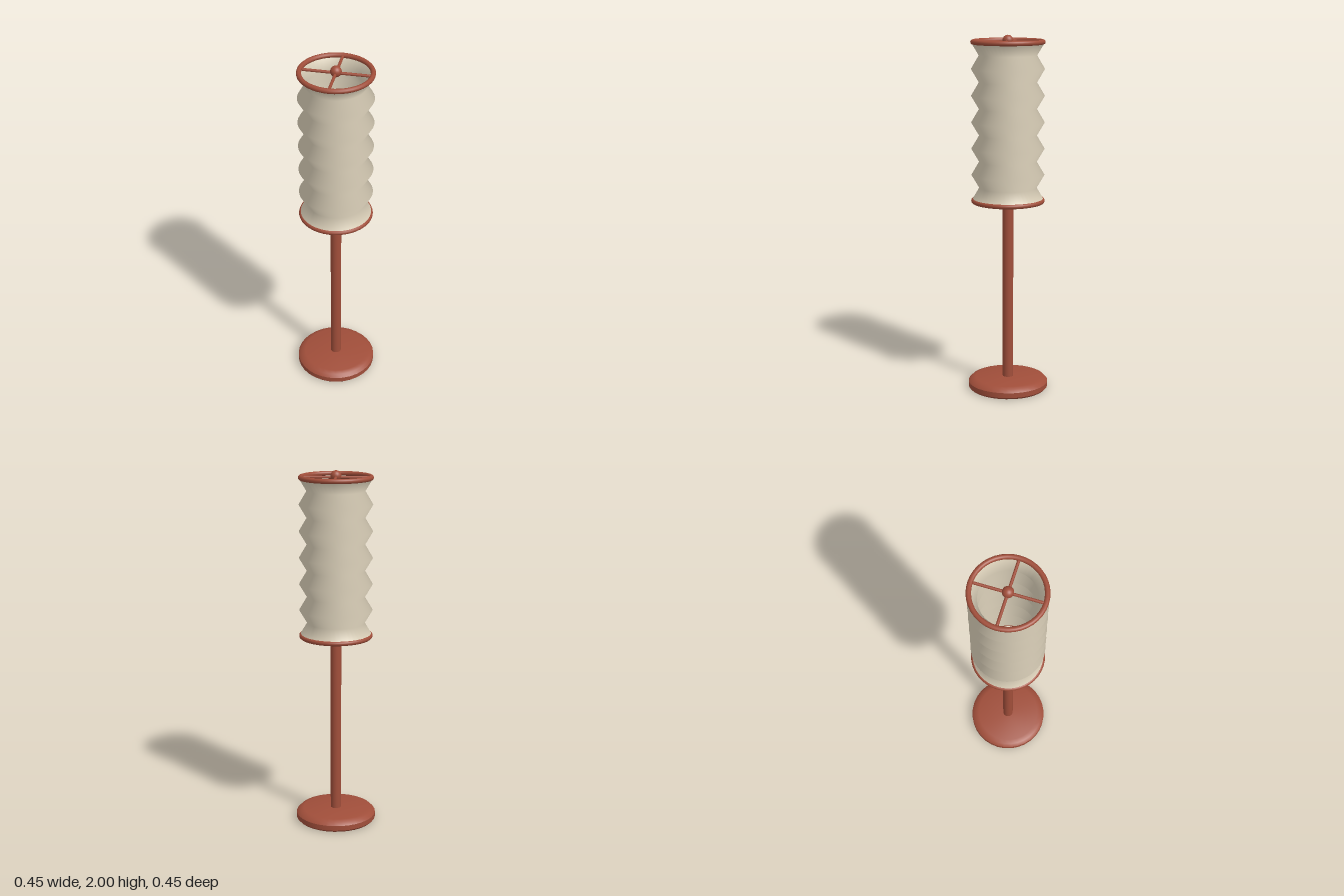
import * as THREE from 'three';
import { toCreasedNormals } from 'three/addons/utils/BufferGeometryUtils.js';

const v = (x, y) => new THREE.Vector2(x, y);

export function createModel() {
  const lamp = new THREE.Group();
  lamp.name = 'floorLamp';
  const wood = new THREE.MeshStandardMaterial({ color: 0xa04e3a });
  wood.name = 'reddish brown';
  const paper = new THREE.MeshStandardMaterial({ color: 0xdcd1ba, side: THREE.DoubleSide });
  paper.name = 'cream';

  const add = (name, geometry, material, y = 0) => {
    const mesh = new THREE.Mesh(geometry, material);
    mesh.name = name;
    mesh.position.y = y;
    lamp.add(mesh);
    return mesh;
  };

  // Round foot with a softened upper edge
  const foot = [v(0, 0), v(0.217, 0), v(0.226, 0.01), v(0.226, 0.038),
    v(0.21, 0.055), v(0.185, 0.062), v(0, 0.065)];
  add('base', toCreasedNormals(new THREE.LatheGeometry(foot, 32), 0.6), wood);

  // Pole, socket and bulb
  add('pole', new THREE.CylinderGeometry(0.03, 0.03, 1.01, 24), wood, 0.565);
  add('socket', new THREE.CylinderGeometry(0.07, 0.07, 0.05, 32), wood, 1.087);
  add('bulb', new THREE.SphereGeometry(0.07, 32, 20), paper, 1.165);

  // Pleated shade: a zigzag wall with six folds
  const bottom = 1.088, top = 1.962, folds = 6;
  const wall = [];
  for (let i = 0; i <= folds * 2; i++) {
    const y = bottom + (top - bottom) * i / (folds * 2);
    wall.push(v(i % 2 ? 0.159 : 0.202, y));
  }
  const lining = wall.map(p => v(p.x - 0.008, p.y));
  add('shade', new THREE.LatheGeometry(wall, 48), paper);
  add('shadeLining', new THREE.LatheGeometry(lining, 48), paper);

  // Rims at both ends of the shade
  for (const [name, y] of [['lowerRim', bottom], ['upperRim', top]]) {
    add(name, new THREE.TorusGeometry(0.191, 0.0135, 12, 40), wood, y).rotation.x = Math.PI / 2;
  }

  // Crossed spokes and finial
  for (let i = 0; i < 2; i++) {
    const spoke = add('spoke', new THREE.CapsuleGeometry(0.008, 0.346, 4, 10), wood, top);
    spoke.rotation.set(Math.PI / 2, 0, i * Math.PI / 2);
  }
  add('finial', new THREE.SphereGeometry(0.03, 20, 14), wood, 1.97);

  return lamp;
}
